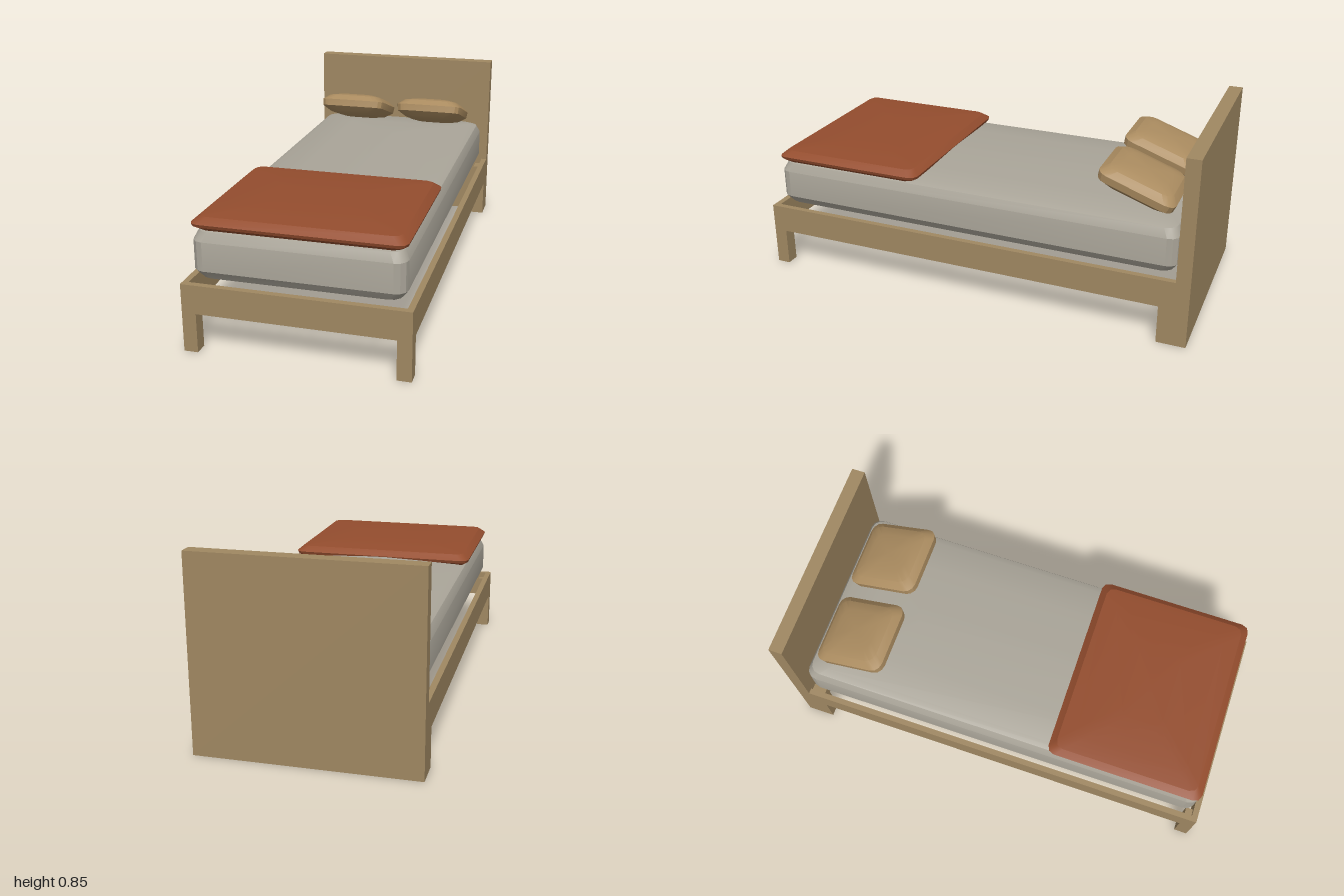
import * as THREE from 'three';
import { toCreasedNormals } from 'three/addons/utils/BufferGeometryUtils.js';

const material = (name, color) => {
  const m = new THREE.MeshStandardMaterial({ color });
  m.name = name;
  return m;
};

// Soft padded block: rounded rectangles stacked by [height, inset]
function cushion(halfX, halfZ, radius, levels, steps = 3) {
  const corners = [[1, 1], [-1, 1], [-1, -1], [1, -1]];
  const pos = [], index = [];
  for (const [y, inset] of levels) {
    const hx = halfX - inset, hz = halfZ - inset;
    const r = Math.min(radius, hx * 0.9, hz * 0.9);
    corners.forEach(([sx, sz], c) => {
      for (let s = 0; s <= steps; s++) {
        const a = (c + s / steps) * Math.PI / 2;
        pos.push(sx * (hx - r) + r * Math.cos(a), y, sz * (hz - r) + r * Math.sin(a));
      }
    });
  }
  const n = 4 * (steps + 1), last = (levels.length - 1) * n;
  const bottom = levels.length * n, top = bottom + 1;
  pos.push(0, levels[0][0], 0, 0, levels[levels.length - 1][0], 0);
  for (let i = 0; i < n; i++) {
    const j = (i + 1) % n;
    for (let k = 0; k < last; k += n) {
      index.push(k + i, k + n + i, k + j, k + j, k + n + i, k + n + j);
    }
    index.push(bottom, i, j, top, last + j, last + i);
  }
  const g = new THREE.BufferGeometry();
  g.setAttribute('position', new THREE.Float32BufferAttribute(pos, 3));
  g.setIndex(index);
  return toCreasedNormals(g, 0.45);
}

export function createModel() {
  const model = new THREE.Group();
  model.name = 'bed';
  const wood = material('wood', 0xa08862);
  const sheet = material('sheet', 0xaaa599);
  const rust = material('rust blanket', 0x944d2e);
  const tan = material('tan pillow', 0xab8c60);

  const add = (name, geometry, mat, x = 0, y = 0, z = 0) => {
    const mesh = new THREE.Mesh(geometry, mat);
    mesh.name = name;
    mesh.position.set(x, y, z);
    model.add(mesh);
    return mesh;
  };
  // Box given by its minimum and maximum corners
  const box = (name, x0, x1, y0, y1, z0, z1) => add(name,
    new THREE.BoxGeometry(x1 - x0, y1 - y0, z1 - z0), wood,
    (x0 + x1) / 2, (y0 + y1) / 2, (z0 + z1) / 2);

  // Wooden frame
  box('headboard', -0.472, 0.472, 0, 0.845, -1, -0.938);
  box('footRail', -0.472, 0.472, 0.172, 0.297, 0.973, 1);
  for (const [side, s] of [['left', 1], ['right', -1]]) {
    const span = (a, b) => (s > 0 ? [a, b] : [-b, -a]);
    box(side + 'Rail', ...span(0.446, 0.472), 0.172, 0.297, -0.938, 0.973);
    // Legs: lower post below the rails, inner post tucked behind them
    box(side + 'FrontLeg', ...span(0.412, 0.472), 0, 0.172, 0.94, 1);
    box(side + 'FrontLegPost', ...span(0.412, 0.446), 0.172, 0.27, 0.94, 0.973);
    box(side + 'BackLeg', ...span(0.412, 0.472), 0, 0.172, -0.938, -0.873);
    box(side + 'BackLegPost', ...span(0.412, 0.446), 0.172, 0.27, -0.938, -0.873);
  }

  // Mattress with a gently crowned top
  add('mattress', cushion(0.437, 0.948, 0.05, [
    [0.296, 0.06], [0.308, 0.024], [0.345, 0], [0.47, 0],
    [0.508, 0.018], [0.522, 0.05], [0.532, 0.2], [0.54, 0.4],
  ]), sheet, 0, 0, 0.017);

  // Folded blanket over the foot end
  add('blanket', cushion(0.439, 0.356, 0.035, [
    [0.51, 0.03], [0.53, 0.004], [0.543, 0], [0.568, 0.03], [0.576, 0.1], [0.581, 0.26],
  ], 2), rust, 0, 0, 0.61);

  // Pillows, raised towards the foot end
  const pillow = cushion(0.167, 0.176, 0.045, [
    [-0.054, 0.085], [-0.044, 0.04], [-0.018, 0.004], [0.015, 0], [0.042, 0.03], [0.054, 0.075],
  ]);
  for (const [side, s] of [['left', 1], ['right', -1]]) {
    add(side + 'Pillow', pillow, tan, s * 0.204, 0.612, -0.718).rotation.x = -0.34;
  }
  return model;
}
